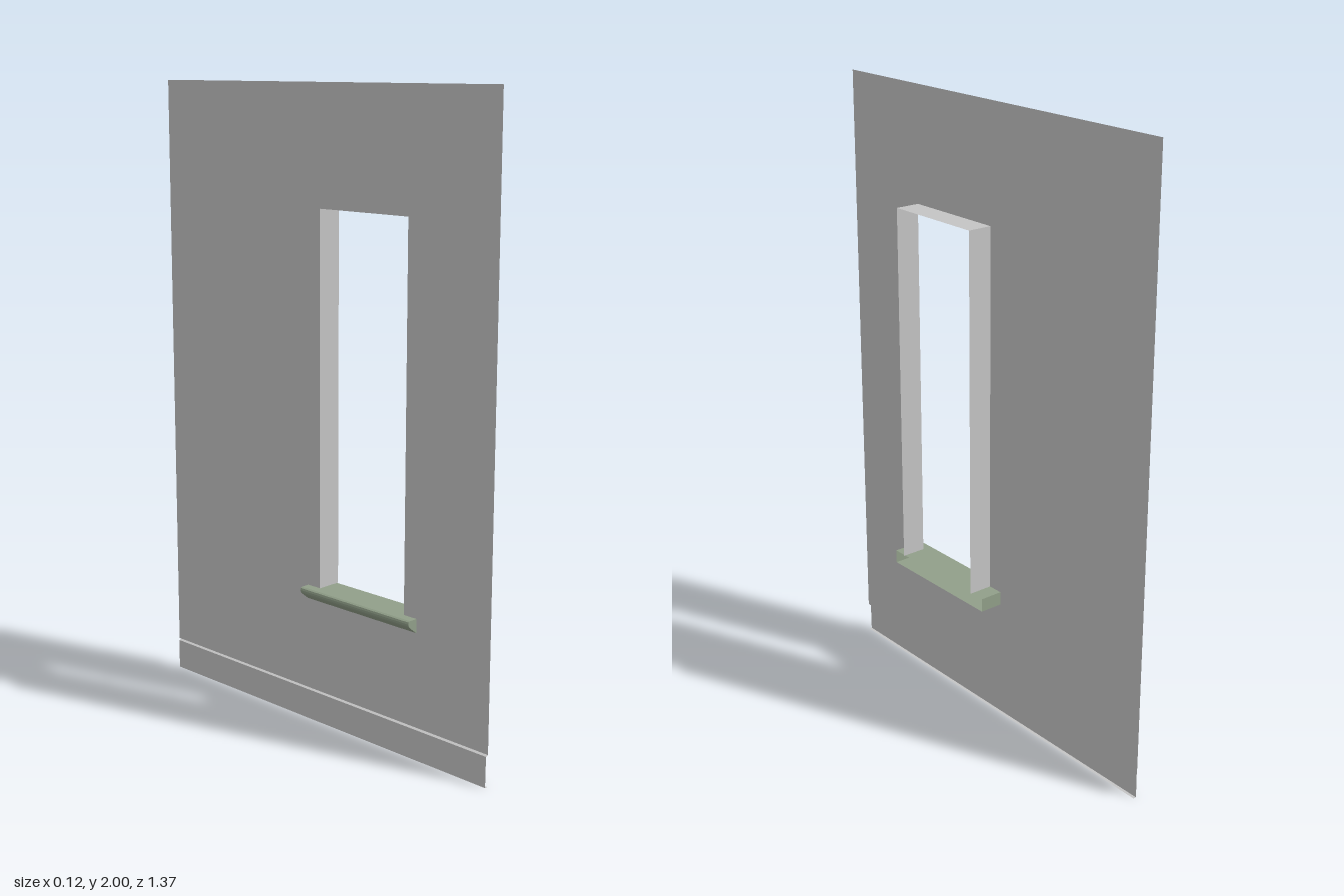
import * as THREE from 'three';

const plaster = new THREE.MeshStandardMaterial({ color: 0xc4c4c4, side: THREE.DoubleSide });
plaster.name = 'greyPlaster';
const stone = new THREE.MeshStandardMaterial({ color: 0x919f89, side: THREE.DoubleSide });
stone.name = 'greenStone';

const WALL_X = -0.024, Z = 0.686;
const hole = { z0: 0.003, z1: 0.355, y0: 0.444, y1: 1.63 };

// Thin sheet following an open x,y profile, stretched from z0 to z1 (flat facets)
function sheet(profile, z0, z1) {
  const pos = [];
  for (let i = 0; i < profile.length - 1; i++) {
    const [ax, ay] = profile[i], [bx, by] = profile[i + 1];
    pos.push(ax, ay, z0, bx, by, z0, bx, by, z1, ax, ay, z0, bx, by, z1, ax, ay, z1);
  }
  const g = new THREE.BufferGeometry();
  g.setAttribute('position', new THREE.Float32BufferAttribute(pos, 3));
  g.computeVertexNormals();
  return g;
}

export function createModel() {
  const root = new THREE.Group();
  root.name = 'windowWall';
  const add = (name, geometry, material, parent = root) => {
    const m = new THREE.Mesh(geometry, material);
    m.name = name;
    parent.add(m);
    return m;
  };

  // Wall panel with window opening; shape x runs along -z
  const panel = new THREE.Shape([[-Z, 0.1], [Z, 0.1], [Z, 2], [-Z, 2]].map(p => new THREE.Vector2(...p)));
  const { z0, z1, y0, y1 } = hole;
  panel.holes.push(new THREE.Path([[-z1, y0], [-z1, y1], [-z0, y1], [-z0, y0]].map(p => new THREE.Vector2(...p))));
  const wall = add('wall', new THREE.ShapeGeometry(panel).rotateY(Math.PI / 2), plaster);
  wall.position.x = WALL_X;

  // Plinth strip along the foot of the wall
  add('plinth', sheet([[WALL_X, 0.1], [-0.033, 0.097], [-0.034, 0], [WALL_X, 0]], -0.676, Z), plaster);

  // Window reveal: two jambs and a head
  const reveal = new THREE.Group();
  reveal.name = 'windowReveal';
  root.add(reveal);
  const x1 = 0.057, depth = x1 - WALL_X, midX = (x1 + WALL_X) / 2;
  for (const [name, z] of [['jambBack', z0], ['jambFront', z1]]) {
    add(name, new THREE.PlaneGeometry(depth, y1 - y0), plaster, reveal).position.set(midX, (y0 + y1) / 2, z);
  }
  add('head', sheet([[x1, y1], [WALL_X, y1]], z0, z1), plaster, reveal);

  // Sill: rounded nose, closed ends, open towards +x
  const sill = new THREE.Group();
  sill.name = 'windowSill';
  root.add(sill);
  const profile = [[0.052, 0.444], [-0.052, 0.444], [-0.058, 0.441], [-0.06, 0.435],
    [-0.058, 0.428], [-0.053, 0.422], [-0.025, 0.4], [0.052, 0.4]];
  add('sillBody', sheet(profile, -0.049, 0.405), stone, sill);
  const end = new THREE.ShapeGeometry(new THREE.Shape(profile.map(p => new THREE.Vector2(...p))));
  for (const [name, z] of [['sillEndBack', -0.049], ['sillEndFront', 0.405]]) {
    add(name, end, stone, sill).position.z = z;
  }
  return root;
}
